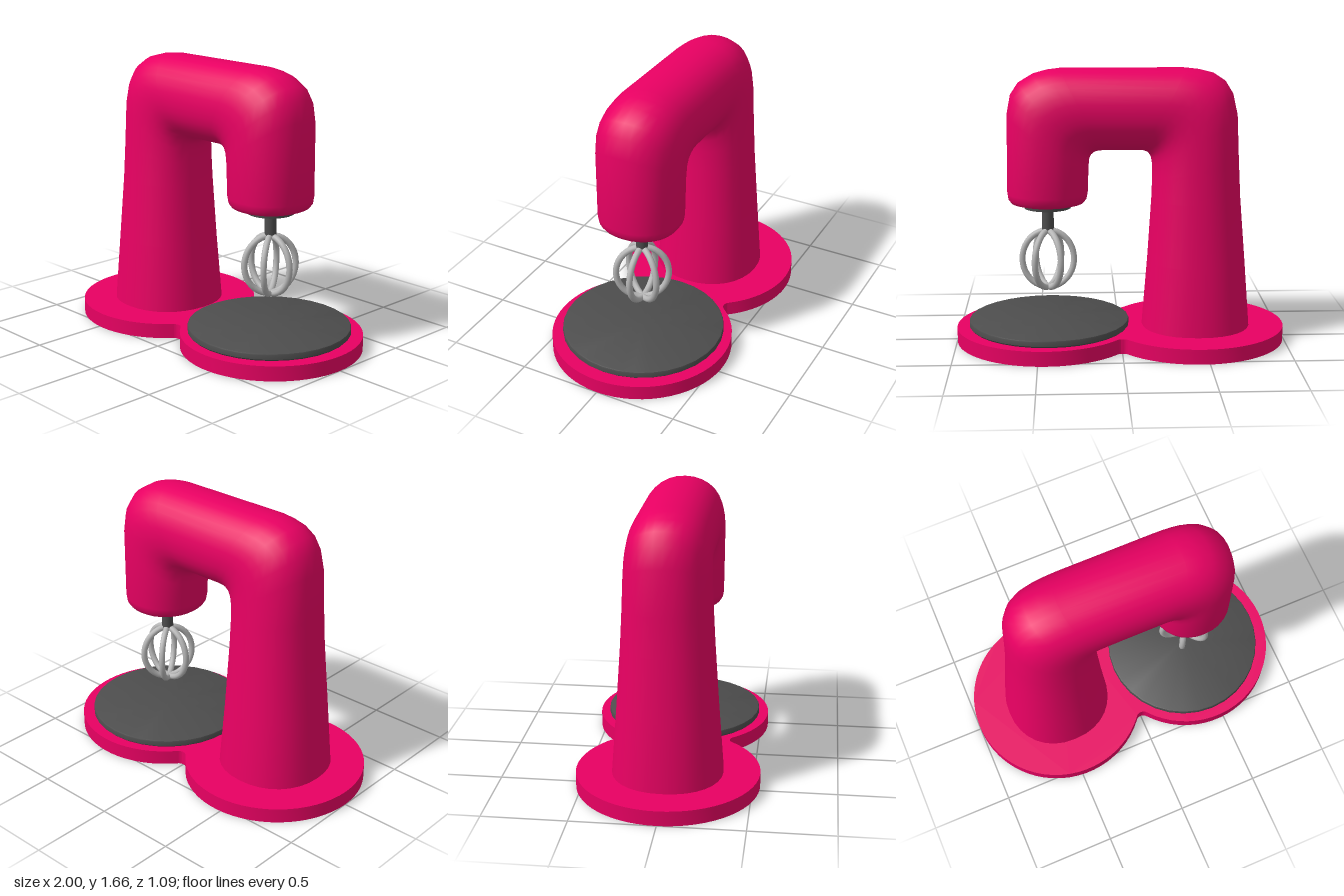
import * as THREE from 'three';
import { toCreasedNormals } from 'three/addons/utils/BufferGeometryUtils.js';

const pink = new THREE.MeshStandardMaterial({ color: 0xe80062 });
const dark = new THREE.MeshStandardMaterial({ color: 0x4d4d4d });
const steel = new THREE.MeshStandardMaterial({ color: 0xb8b8b8 });
const HEAD_X = 0.44;

function add(parent, name, geometry, material, x = 0) {
  const mesh = new THREE.Mesh(geometry, material);
  mesh.name = name;
  mesh.position.x = x;
  parent.add(mesh);
  return mesh;
}

// Figure-eight outline: two circles joined by small fillets at the waist
function outline(PathType, inset) {
  const cx = 0.455, r = 0.545 - inset, fz = 0.374, fr = 0.044 + inset;
  const a = Math.atan2(fz, cx);
  const path = new PathType();
  path.absarc(cx, 0, r, a - Math.PI, Math.PI - a, false);
  path.absarc(0, fz, fr, -a, a - Math.PI, true);
  path.absarc(-cx, 0, r, a, 2 * Math.PI - a, false);
  path.absarc(0, -fz, fr, Math.PI - a, a, true);
  return path;
}

function slab(shape, y0, y1) {
  const geo = new THREE.ExtrudeGeometry(shape, { depth: y1 - y0, bevelEnabled: false, curveSegments: 24 });
  geo.rotateX(-Math.PI / 2);
  geo.translate(0, y0, 0);
  return toCreasedNormals(geo, 0.6);
}

// Rounded rings, each given by its outer point, inner point and half depth
function sweepGeometry(rings, sides) {
  const pos = [], index = [];
  const soft = v => Math.sign(v) * Math.abs(v) ** (2 / 2.18);
  for (const [ox, oy, ix, iy, hz] of rings) {
    for (let j = 0; j < sides; j++) {
      const t = (j / sides) * Math.PI * 2, c = soft(Math.cos(t)) / 2;
      pos.push((ox + ix) / 2 + (ox - ix) * c, (oy + iy) / 2 + (oy - iy) * c, hz * soft(Math.sin(t)));
    }
  }
  for (let i = 0; i < rings.length - 1; i++) {
    for (let j = 0; j < sides; j++) {
      const k = (j + 1) % sides, p = i * sides, q = p + sides;
      index.push(p + j, p + k, q + k, p + j, q + k, q + j);
    }
  }
  // End caps
  for (const i of [0, rings.length - 1]) {
    const [ox, oy, ix, iy] = rings[i], centre = pos.length / 3, p = i * sides;
    pos.push((ox + ix) / 2, (oy + iy) / 2, 0);
    for (let j = 0; j < sides; j++) {
      const k = (j + 1) % sides;
      index.push(centre, p + (i ? j : k), p + (i ? k : j));
    }
  }
  const geo = new THREE.BufferGeometry();
  geo.setAttribute('position', new THREE.Float32BufferAttribute(pos, 3));
  geo.setIndex(index);
  return toCreasedNormals(geo, 1.1);
}

// Round plate with softened rims
function disc(r, y0, y1, b) {
  const profile = [
    [0, y0], [r - b, y0], [r, y0 + b],
    [r, y1 - b], [r - b * 0.3, y1 - b * 0.3], [r - b, y1], [0, y1],
  ];
  const geo = new THREE.LatheGeometry(profile.map(p => new THREE.Vector2(...p)), 32);
  return toCreasedNormals(geo, 0.6);
}

export function createModel() {
  const model = new THREE.Group();
  model.name = 'standMixer';

  // Base: a thin plate on a thin rim, hollow underneath
  add(model, 'basePlate', slab(outline(THREE.Shape, 0), 0.08, 0.09), pink);
  const rim = outline(THREE.Shape, 0);
  rim.holes.push(outline(THREE.Path, 0.006));
  add(model, 'baseRim', slab(rim, 0, 0.08), pink);
  add(model, 'bowlPad', disc(0.488, 0.0905, 0.135, 0.009), dark, HEAD_X - 0.002);

  // Tapered column, arm and drooping head in one continuous sweep
  add(model, 'body', sweepGeometry([
    [-0.791, 0.07, -0.129, 0.07, 0.331],
    [-0.757, 0.5, -0.163, 0.5, 0.298],
    [-0.725, 0.88, -0.187, 0.88, 0.272],
    [-0.712, 1.12, -0.192, 1.02, 0.262],
    [-0.70, 1.39, -0.19, 1.09, 0.255],
    [-0.673, 1.51, -0.183, 1.13, 0.252],
    [-0.627, 1.585, -0.17, 1.153, 0.249],
    [-0.555, 1.633, -0.15, 1.168, 0.246],
    [-0.47, 1.655, -0.13, 1.174, 0.245],
    [-0.38, 1.665, -0.10, 1.176, 0.245],
    [0.36, 1.665, 0.10, 1.176, 0.245],
    [0.44, 1.655, 0.13, 1.174, 0.247],
    [0.52, 1.633, 0.153, 1.168, 0.25],
    [0.608, 1.58, 0.175, 1.15, 0.252],
    [0.656, 1.508, 0.188, 1.12, 0.253],
    [0.678, 1.39, 0.192, 1.07, 0.252],
    [0.682, 0.92, 0.197, 0.92, 0.248],
    [0.677, 0.885, 0.203, 0.885, 0.242],
    [0.66, 0.862, 0.22, 0.862, 0.226],
    [0.62, 0.851, 0.26, 0.851, 0.19],
  ], 32), pink);

  // Drive hub and shaft under the head
  const hub = new THREE.CylinderGeometry(0.145, 0.14, 0.035, 32);
  add(model, 'hub', hub, dark, HEAD_X).position.y = 0.84;
  const shaft = new THREE.CylinderGeometry(0.036, 0.036, 0.15, 20);
  add(model, 'shaft', shaft, dark, HEAD_X).position.y = 0.755;

  // Whisk: three crossed wire loops
  const whisk = new THREE.Group();
  whisk.name = 'whisk';
  whisk.position.set(HEAD_X, 0.505, 0);
  const points = Array.from({ length: 16 }, (_, i) => {
    const t = (i / 16) * Math.PI * 2;
    return new THREE.Vector3(0.157 * Math.cos(t), 0.177 * Math.sin(t), 0);
  });
  const loop = new THREE.TubeGeometry(new THREE.CatmullRomCurve3(points, true), 40, 0.019, 10, true);
  for (let i = 0; i < 3; i++) add(whisk, 'whiskWire', loop, steel).rotation.y = (i * Math.PI) / 3;
  model.add(whisk);

  return model;
}
